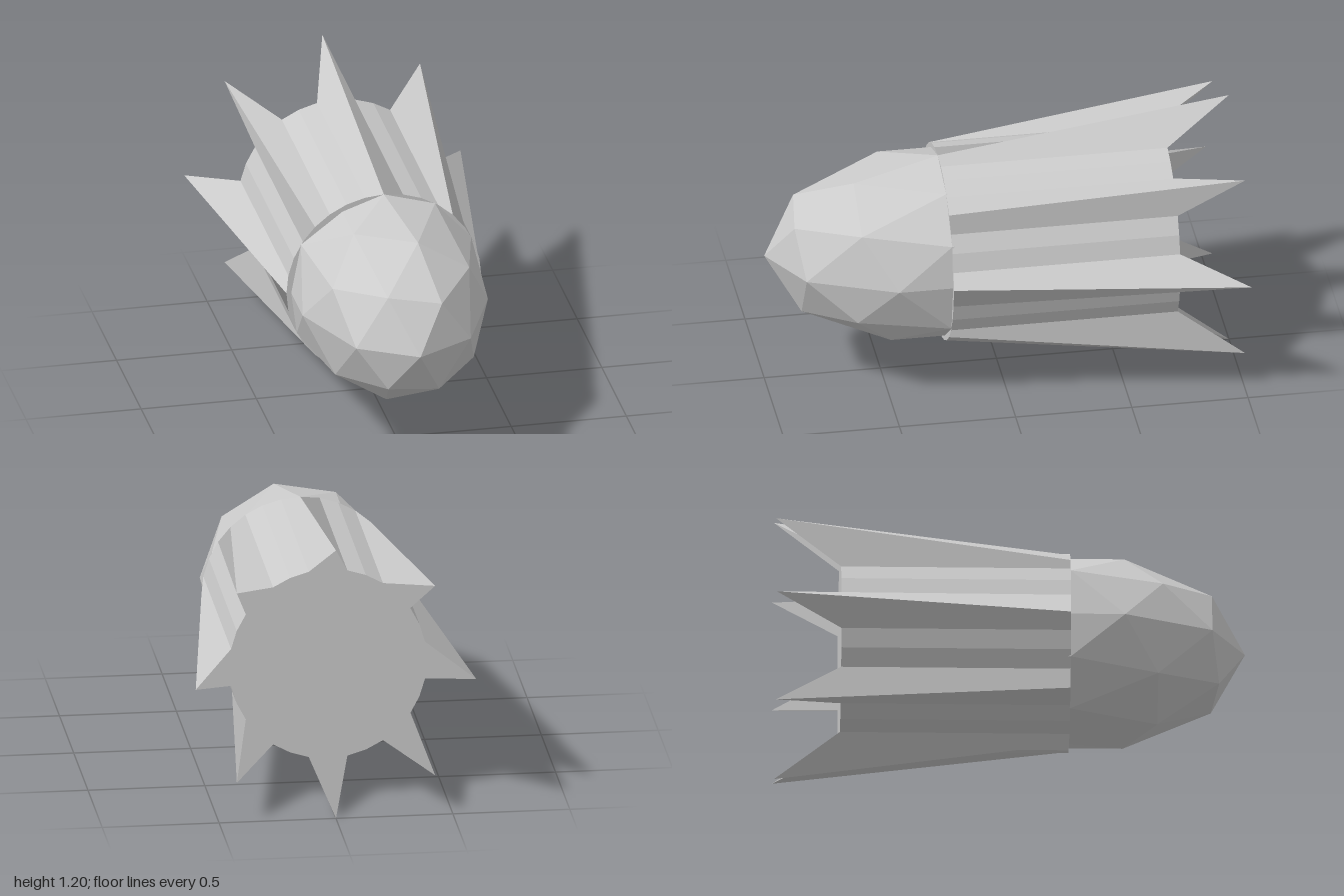
import * as THREE from 'three';

const SIDES = 32, RADIUS = 0.423, TIP_RADIUS = 0.6;
const FRONT = 0.253, BACK = -0.722, TIP_Z = -1, AXIS_Y = 0.6;

// Corner of the body's outline; every fourth back corner is drawn out to a fin tip
function corner(i, back) {
  const a = (i / SIDES) * Math.PI * 2;
  const tip = back && i % 4 === 0;
  const r = tip ? TIP_RADIUS : RADIUS;
  return new THREE.Vector3(Math.cos(a) * r, Math.sin(a) * r, back ? (tip ? TIP_Z : BACK) : FRONT);
}

function finnedBodyGeometry() {
  const positions = [], normals = [];
  const tri = (n, ...pts) => pts.forEach((p) => {
    positions.push(p.x, p.y, p.z);
    normals.push(n.x, n.y, n.z);
  });
  const forward = new THREE.Vector3(0, 0, 1), backward = new THREE.Vector3(0, 0, -1);
  const frontCentre = new THREE.Vector3(0, 0, FRONT), backCentre = new THREE.Vector3(0, 0, BACK);

  for (let i = 0; i < SIDES; i++) {
    const f0 = corner(i, false), f1 = corner(i + 1, false);
    const b0 = corner(i, true), b1 = corner(i + 1, true);
    // Side panel, shaded as a single face
    const n = b1.clone().sub(f0).cross(f1.clone().sub(b0)).normalize();
    tri(n, f0, b0, b1);
    tri(n, f0, b1, f1);
    // Front cap
    tri(forward, frontCentre, f0, f1);
    // Back cap, cut straight across below each fin, plus the fin's back
    if (i % 4 === 0) {
      const before = corner(i + SIDES - 1, true);
      tri(backward, backCentre, b1, before);
      tri(backward, before, b1, b0);
    } else if (i % 4 !== 3) {
      tri(backward, backCentre, b1, b0);
    }
  }
  const g = new THREE.BufferGeometry();
  g.setAttribute('position', new THREE.Float32BufferAttribute(positions, 3));
  g.setAttribute('normal', new THREE.Float32BufferAttribute(normals, 3));
  return g;
}

export function createModel() {
  const model = new THREE.Group();
  model.name = 'finnedCapsule';

  // Body with eight flared fins
  const body = new THREE.Mesh(
    finnedBodyGeometry(),
    new THREE.MeshStandardMaterial({ color: 0xcccccc, side: THREE.DoubleSide })
  );
  body.name = 'finnedBody';

  // Faceted nose: a stretched icosphere with a vertex at its top
  const noseGeometry = new THREE.IcosahedronGeometry(1, 1);
  noseGeometry.rotateZ(-Math.atan(2 / (1 + Math.sqrt(5))));
  noseGeometry.scale(RADIUS, RADIUS, 1 - FRONT);
  noseGeometry.computeVertexNormals();
  const nose = new THREE.Mesh(
    noseGeometry,
    new THREE.MeshStandardMaterial({ color: 0xcccccc, flatShading: true })
  );
  nose.name = 'nose';
  nose.position.z = FRONT;

  model.add(body, nose);
  model.children.forEach((part) => { part.position.y = AXIS_Y; });
  return model;
}
